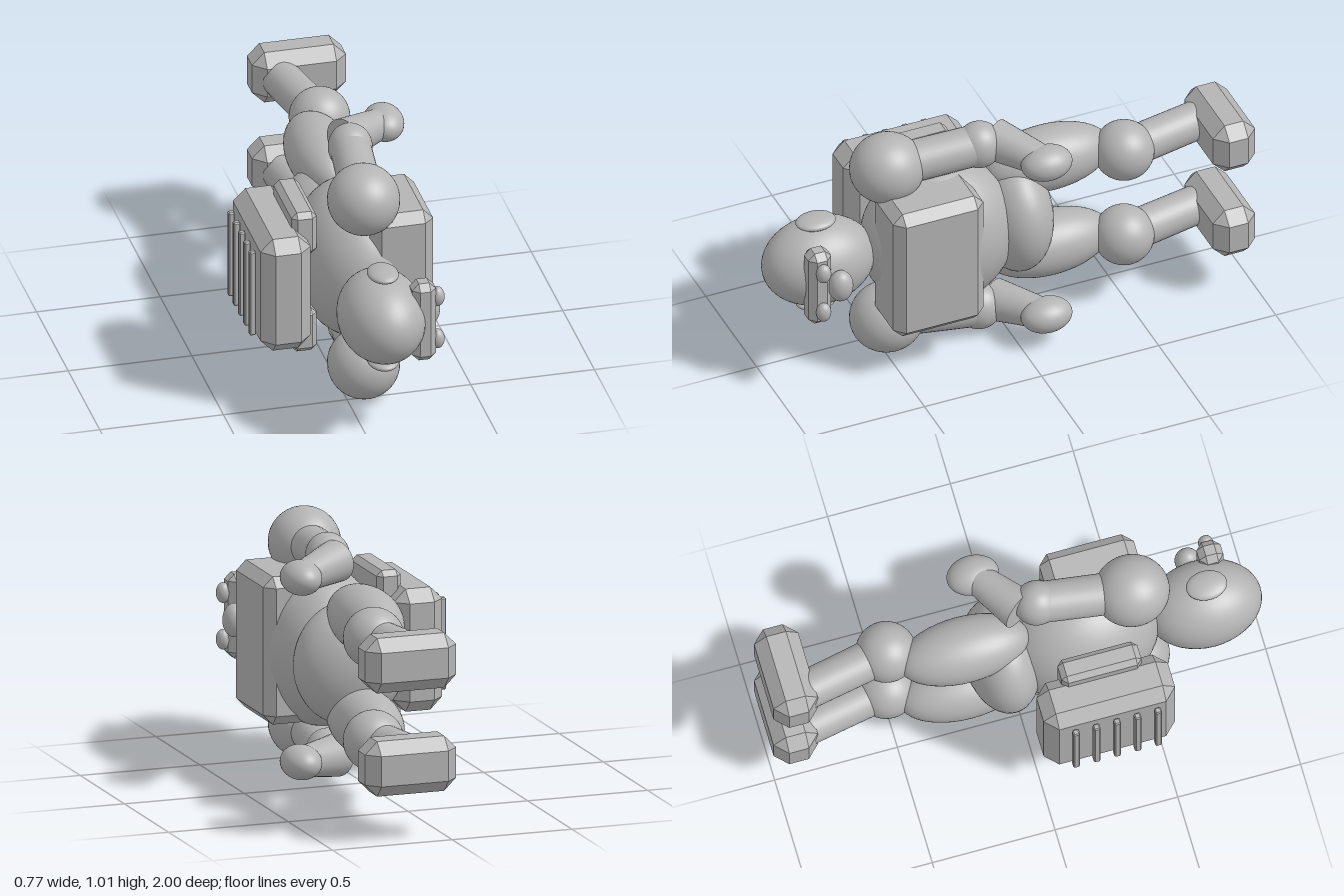
import * as THREE from 'three';
import { ConvexGeometry } from 'three/addons/geometries/ConvexGeometry.js';

const MID = 0.512; // height of the figure's plane of symmetry (it lies on its side)

export function createModel() {
  const model = new THREE.Group();
  const grey = new THREE.MeshStandardMaterial({ color: 0xb4b4b4 });
  grey.name = 'plain grey';

  function add(name, geometry, position) {
    const mesh = new THREE.Mesh(geometry, grey);
    mesh.name = name;
    mesh.position.set(...position);
    model.add(mesh);
    return mesh;
  }

  const ball = (name, position, radii) =>
    add(name, new THREE.SphereGeometry(1, 40, 28), position).scale.set(...radii);

  // Box with every edge and corner cut off
  function bevelBox(name, position, size, cut) {
    const points = [];
    for (let axis = 0; axis < 3; axis++)
      for (const a of [-1, 1]) for (const b of [-1, 1]) for (const c of [-1, 1]) {
        const p = [a, b, c].map((s, i) => s * (size[i] / 2 - (i === axis ? 0 : cut)));
        points.push(new THREE.Vector3(...p));
      }
    return add(name, new ConvexGeometry(points), position);
  }

  // Tapered cylinder between two points
  function limb(name, from, to, r0, r1) {
    const a = new THREE.Vector3(...from), b = new THREE.Vector3(...to);
    const dir = b.clone().sub(a);
    const middle = a.clone().add(b).multiplyScalar(0.5);
    const mesh = add(name, new THREE.CylinderGeometry(r1, r0, dir.length(), 32), middle.toArray());
    mesh.quaternion.setFromUnitVectors(new THREE.Vector3(0, 1, 0), dir.normalize());
  }

  // Trunk and head
  ball('torso', [0.09, MID, 0.265], [0.245, 0.32, 0.32]);
  ball('pelvis', [0.08, MID, -0.055], [0.23, 0.25, 0.15]);
  ball('head', [0.07, MID, 0.768], [0.172, 0.18, 0.232]);
  ball('nose', [0.263, MID, 0.755], [0.046, 0.068, 0.05]);
  bevelBox('visor', [0.22, MID, 0.835], [0.096, 0.34, 0.098], 0.027);

  // Chest box and backpack with its row of bars
  bevelBox('chestPack', [0.217, 0.518, 0.357], [0.256, 0.596, 0.385], 0.04);
  bevelBox('backpack', [-0.248, 0.51, 0.278], [0.203, 0.495, 0.535], 0.05);
  for (let i = 0; i < 5; i++)
    bevelBox('backpackBar', [-0.372, 0.51, 0.122 + i * 0.0835], [0.027, 0.371, 0.027], 0.005);

  // Parts on both sides of the body
  for (const [side, s] of [['left', -1], ['right', 1]]) {
    const at = (x, off, z) => [x, MID + s * off, z];
    ball(side + 'Ear', at(0.073, 0.194, 0.78), [0.061, 0.023, 0.082]);
    ball(side + 'Eye', at(0.28, 0.094, 0.835), [0.028, 0.041, 0.03]);
    bevelBox(side + 'SideTank', at(-0.154, 0.215, 0.279), [0.102, 0.187, 0.325], 0.022);

    // Arm
    const shoulder = at(0.073, 0.364, 0.475), elbow = at(0.115, 0.395, 0.1), hand = at(0.302, 0.372, -0.107);
    ball(side + 'Shoulder', shoulder, [0.143, 0.142, 0.15]);
    limb(side + 'UpperArm', shoulder, elbow, 0.084, 0.082);
    ball(side + 'Elbow', elbow, [0.088, 0.096, 0.092]);
    limb(side + 'Forearm', at(0.105, 0.392, 0.03), hand, 0.085, 0.06);
    ball(side + 'Hand', hand, [0.08, 0.069, 0.105]);

    // Leg
    const knee = at(0.145, 0.207, -0.505);
    ball(side + 'Thigh', at(0.07, 0.208, -0.21), [0.131, 0.131, 0.265]);
    ball(side + 'Knee', knee, [0.121, 0.121, 0.121]);
    limb(side + 'Shin', knee, at(0.075, 0.207, -0.86), 0.08, 0.078);
    bevelBox(side + 'Boot', at(0.155, 0.208, -0.91), [0.38, 0.222, 0.18], 0.05);
  }
  return model;
}
